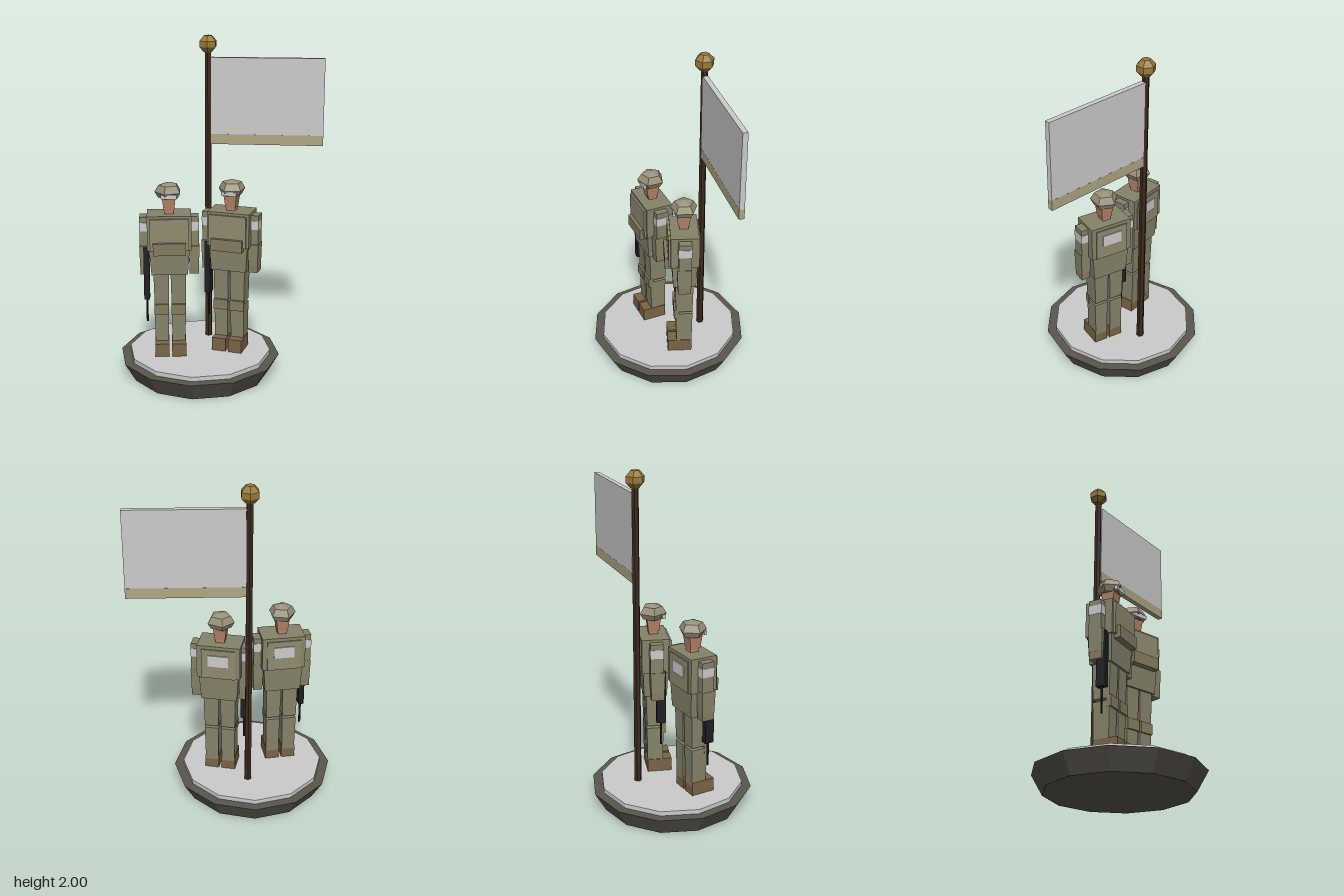
import * as THREE from 'three';

const mat = (color) => new THREE.MeshStandardMaterial({ color, flatShading: true });
const M = {
  grey: new THREE.MeshStandardMaterial({ color: 0xcccccc, flatShading: true }),
  cloth: mat(0x86836a), vest: mat(0x918a70), pouch: mat(0x857b60), boot: mat(0x7a6546),
  skin: mat(0xb5836a), black: mat(0x1f1f22), helmet: mat(0x98917a),
  stone: mat(0x5a564e), wood: mat(0x3d2a1e), brass: mat(0x9a7a3a), trim: mat(0xb0a684),
};

function add(parent, name, geometry, material, x = 0, y = 0, z = 0) {
  const mesh = new THREE.Mesh(geometry, material);
  mesh.name = name;
  mesh.position.set(x, y, z);
  parent.add(mesh);
  return mesh;
}

// Box from y0 to y1; the bottom corners are scaled by taper
function block(parent, name, material, w, y0, y1, d, x = 0, z = 0, taper = 1) {
  const g = new THREE.BoxGeometry(w, y1 - y0, d);
  const p = g.attributes.position;
  for (let i = 0; i < p.count; i++) {
    if (p.getY(i) < 0) p.setXYZ(i, p.getX(i) * taper, p.getY(i), p.getZ(i) * taper);
  }
  g.computeVertexNormals();
  return add(parent, name, g, material, x, (y0 + y1) / 2, z);
}

// Faceted solid of revolution, profile listed from bottom to top
const turned = (points, sides) =>
  new THREE.LatheGeometry(points.map(([r, y]) => new THREE.Vector2(r, y)), sides);

function soldier(name, x, z, yaw) {
  const s = new THREE.Group();
  s.name = name;
  s.position.set(x, 0, z);
  s.rotation.y = yaw;

  for (const side of [-1, 1]) {
    // Legs with a small gap behind the knee pad
    const lx = side * 0.05;
    block(s, 'boot', M.boot, 0.084, 0.14, 0.222, 0.145, lx, 0.027);
    block(s, 'shin', M.cloth, 0.084, 0.2, 0.43, 0.1, lx, 0, 0.92);
    block(s, 'thigh', M.cloth, 0.092, 0.445, 0.67, 0.11, lx, 0, 0.9);
    block(s, 'kneePad', M.pouch, 0.086, 0.395, 0.458, 0.03, lx, 0.047);

    // Arms with a pale band on the sleeve
    const ax = side * 0.144;
    block(s, 'upperArm', M.cloth, 0.056, 0.8, 0.99, 0.075, ax, 0);
    block(s, 'armBand', M.grey, 0.06, 0.905, 0.957, 0.08, ax, 0);
    block(s, 'forearm', M.cloth, 0.062, 0.685, 0.815, 0.086, ax, 0.005, 0.9);
    block(s, 'glove', M.pouch, 0.054, 0.642, 0.69, 0.076, ax, 0.005);
  }

  // Torso and equipment
  block(s, 'hips', M.cloth, 0.236, 0.645, 0.81, 0.15, 0, 0, 0.9);
  block(s, 'chest', M.cloth, 0.256, 0.8, 1.005, 0.165);
  block(s, 'frontPlate', M.vest, 0.225, 0.8, 0.99, 0.025, 0, 0.083);
  block(s, 'backPlate', M.vest, 0.2, 0.8, 0.985, 0.02, 0, -0.08);
  block(s, 'backPanel', M.grey, 0.12, 0.88, 0.95, 0.008, 0, -0.092);
  block(s, 'pouchBelt', M.pouch, 0.19, 0.778, 0.85, 0.04, 0, 0.096);

  // Head and five-sided helmet
  block(s, 'neck', M.skin, 0.052, 1.0, 1.05, 0.052);
  block(s, 'head', M.skin, 0.084, 1.025, 1.13, 0.088, 0, 0.002, 0.72);
  const dome = turned([[0, 1.098], [0.062, 1.098], [0.082, 1.132], [0.058, 1.172], [0, 1.19]], 5);
  add(s, 'helmet', dome, M.helmet).rotation.y = -Math.PI / 2;
  block(s, 'goggles', M.grey, 0.09, 1.103, 1.126, 0.018, 0, 0.059);

  // Rifle hanging beside the right arm, muzzle down
  block(s, 'rifleBody', M.black, 0.034, 0.49, 0.81, 0.055, -0.135, 0.028);
  add(s, 'rifleBarrel', new THREE.CylinderGeometry(0.007, 0.007, 0.15, 6), M.black, -0.135, 0.42, 0.028);
  return s;
}

export function createModel() {
  const model = new THREE.Group();
  model.name = 'soldiersWithFlag';

  // Twelve-sided plinth
  add(model, 'plinth', new THREE.CylinderGeometry(0.48, 0.415, 0.115, 12), M.stone, -0.117, 0.0575, 0);
  add(model, 'plinthTop', new THREE.CylinderGeometry(0.425, 0.425, 0.03, 12), M.grey, -0.117, 0.127, 0);

  // Flagpole, finial and flag
  add(model, 'flagpole', new THREE.CylinderGeometry(0.02, 0.022, 1.79, 6), M.wood, -0.083, 1.035, -0.2);
  const ball = turned([[0, -0.048], [0.026, -0.048], [0.054, -0.017], [0.054, 0.017], [0.026, 0.048], [0, 0.048]], 6);
  add(model, 'finial', ball, M.brass, -0.083, 1.952, -0.2);
  block(model, 'flag', M.grey, 0.66, 1.425, 1.875, 0.03, 0.265, -0.2);
  block(model, 'flagStripe', M.trim, 0.66, 1.365, 1.425, 0.031, 0.265, -0.2);

  model.add(soldier('rightSoldier', -0.287, 0.057, 0.14));
  model.add(soldier('leftSoldier', 0.072, -0.043, -0.22));
  return model;
}
